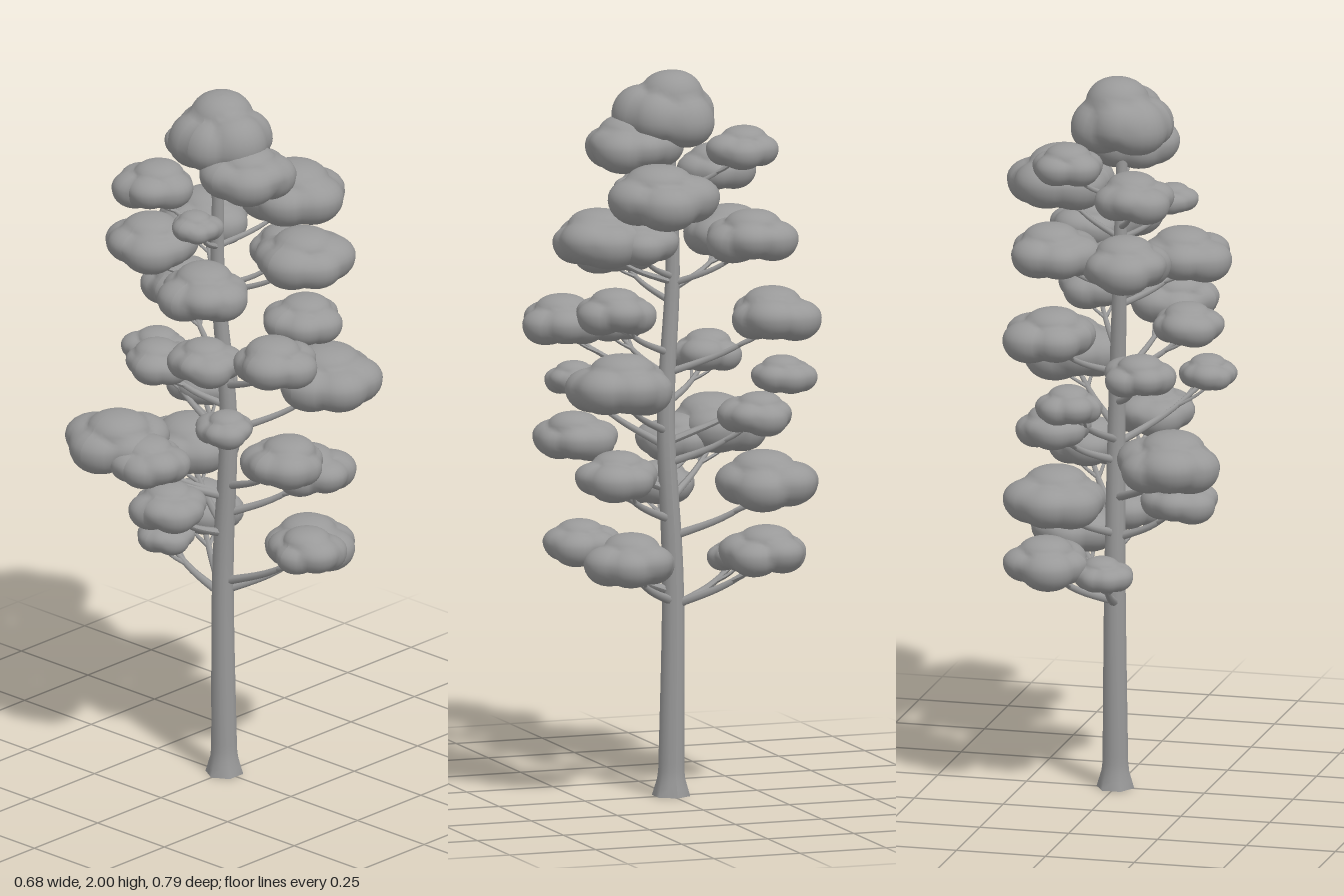
import * as THREE from 'three';

const grey = new THREE.MeshStandardMaterial({ color: 0x999999 });
grey.name = 'grey';

// Foliage pads from the crown down: centre x, y, z and radius
const PADS = [
  [-0.02, 1.87, 0.01, 0.14],
  [-0.02, 1.80, 0.10, 0.13],
  [0.09, 1.79, -0.17, 0.10],
  [-0.10, 1.71, -0.17, 0.11],
  [-0.15, 1.66, 0.04, 0.07],
  [0.18, 1.68, 0.09, 0.15],
  [-0.18, 1.49, 0.09, 0.125],
  [0.07, 1.56, 0.23, 0.135],
  [0.11, 1.55, 0.14, 0.11],
  [0.12, 1.55, -0.19, 0.125],
  [-0.08, 1.53, -0.20, 0.125],
  [-0.09, 1.31, 0.28, 0.12],
  [0.10, 1.36, 0.20, 0.11],
  [-0.18, 1.29, 0.10, 0.10],
  [0.12, 1.33, -0.26, 0.125],
  [0.18, 1.17, 0.22, 0.145],
  [-0.21, 1.13, 0.20, 0.08],
  [-0.10, 1.20, -0.14, 0.10],
  [0.05, 1.15, -0.31, 0.09],
  [0.12, 1.06, -0.20, 0.10],
  [-0.20, 0.98, -0.21, 0.14],
  [-0.20, 0.95, -0.09, 0.11],
  [-0.04, 1.00, 0.26, 0.115],
  [0.13, 0.91, 0.21, 0.115],
  [0.11, 0.87, -0.24, 0.14],
  [-0.19, 0.83, -0.03, 0.105],
  [0.04, 0.72, 0.27, 0.105],
  [0.155, 0.68, 0.18, 0.125],
  [-0.02, 0.65, -0.20, 0.08],
  [0.14, 0.68, -0.22, 0.12],
];

// Trunk centre line
const trunkCurve = new THREE.CatmullRomCurve3([
  new THREE.Vector3(0, 0, 0),
  new THREE.Vector3(0, 0.6, -0.005),
  new THREE.Vector3(0, 1.05, 0.015),
  new THREE.Vector3(-0.015, 1.45, -0.01),
  new THREE.Vector3(-0.02, 1.86, 0),
]);

function trunkAt(y) {
  let low = 0, high = 1;
  for (let i = 0; i < 24; i++) {
    const mid = (low + high) / 2;
    if (trunkCurve.getPoint(mid).y < y) low = mid; else high = mid;
  }
  return trunkCurve.getPoint(low);
}

// Tube whose radius follows radiusAt(t, angle)
function taperedTube(curve, steps, sides, radiusAt) {
  const geo = new THREE.TubeGeometry(curve, steps, 1, sides, false);
  const pos = geo.attributes.position, v = new THREE.Vector3();
  for (let i = 0; i <= steps; i++) {
    const centre = curve.getPointAt(i / steps);
    for (let j = 0; j <= sides; j++) {
      const k = i * (sides + 1) + j;
      v.fromBufferAttribute(pos, k).sub(centre);
      v.multiplyScalar(radiusAt(i / steps, (j / sides) * Math.PI * 2)).add(centre);
      pos.setXYZ(k, v.x, v.y, v.z);
    }
  }
  geo.computeVertexNormals();
  return geo;
}

// Skin over a ring of overlapping balls and one on top, with a nearly flat underside
function padGeometry(radius, height, seed) {
  const geo = new THREE.SphereGeometry(1, 40, 26);
  const pos = geo.attributes.position, v = new THREE.Vector3();
  const count = 5 + (seed % 3);
  const balls = [{ c: new THREE.Vector3(0.1 * Math.sin(seed * 2), 0.35, 0.1 * Math.cos(seed * 3)), s: 0.62 }];
  for (let i = 0; i < count; i++) {
    const a = (i / count) * Math.PI * 2 + seed * 1.7 + 0.2 * Math.sin(seed * 3 + i * 5);
    const c = new THREE.Vector3(Math.cos(a), 0.15 * Math.sin(i * 2.4 + seed), Math.sin(a)).multiplyScalar(0.43);
    balls.push({ c, s: 0.59 + 0.04 * Math.sin(i * 3.1 + seed) });
  }
  for (let i = 0; i < pos.count; i++) {
    v.fromBufferAttribute(pos, i);
    const r = Math.max(...balls.map(({ c, s }) => {
      const d = c.dot(v);
      return d + Math.sqrt(d * d - c.lengthSq() + s * s);
    }));
    const below = v.y < 0;
    const fullness = Math.max(Math.hypot(v.x, v.z), 1e-6) ** (below ? -0.3 : -0.15);
    const y = v.y * r * (below ? 0.8 * radius : height);
    pos.setXYZ(i, v.x * r * fullness * radius, y, v.z * r * fullness * radius);
  }
  geo.computeVertexNormals();
  return geo;
}

function addMesh(parent, name, geo) {
  const mesh = new THREE.Mesh(geo, grey);
  mesh.name = name;
  parent.add(mesh);
  return mesh;
}

export function createModel() {
  const tree = new THREE.Group();
  tree.name = 'tree';

  // Trunk with a lobed root flare
  addMesh(tree, 'trunk', taperedTube(trunkCurve, 80, 12, (t, a) => {
    const flare = Math.max(0, 1 - t / 0.03);
    return 0.037 - 0.022 * t + flare * (0.012 + 0.004 * Math.cos(a * 6));
  }));
  addMesh(tree, 'trunkBase', new THREE.CircleGeometry(0.046, 12)).rotation.x = Math.PI / 2;

  const branches = new THREE.Group();
  branches.name = 'branches';
  const foliage = new THREE.Group();
  foliage.name = 'foliage';
  tree.add(branches, foliage);

  PADS.forEach(([x, y, z, radius], i) => {
    const isCrown = i === 0;
    const height = radius * (isCrown ? 0.96 : 0.64);
    addMesh(foliage, isCrown ? 'crown' : 'foliagePad', padGeometry(radius, height, i + 1)).position.set(x, y, z);
    if (isCrown) return;

    // Branch leaves the trunk, runs outward and turns up into the pad
    const reach = Math.hypot(x, z);
    const start = trunkAt(y - 0.05 - reach * 0.4);
    const end = new THREE.Vector3(x, y - height * 0.3, z);
    const bend = start.clone().lerp(end, 0.55);
    bend.y -= 0.015;
    const curve = new THREE.CatmullRomCurve3([start, bend, end]);
    const thick = 0.016 - 0.004 * y;
    addMesh(branches, 'branch', taperedTube(curve, 10, 7, t => thick * (1 - 0.55 * t)));

    // Two twigs spreading under the pad
    for (const side of [-1, 1]) {
      const spread = (side * radius * 0.5) / reach;
      const tip = new THREE.Vector3(x - z * spread, y - height * 0.2, z + x * spread);
      const fork = curve.getPoint(0.6);
      const middle = fork.clone().lerp(tip, 0.5);
      middle.y -= 0.008;
      const twig = new THREE.CatmullRomCurve3([fork, middle, tip]);
      addMesh(branches, 'twig', taperedTube(twig, 6, 5, t => thick * 0.5 * (1 - 0.5 * t)));
    }
  });
  return tree;
}
